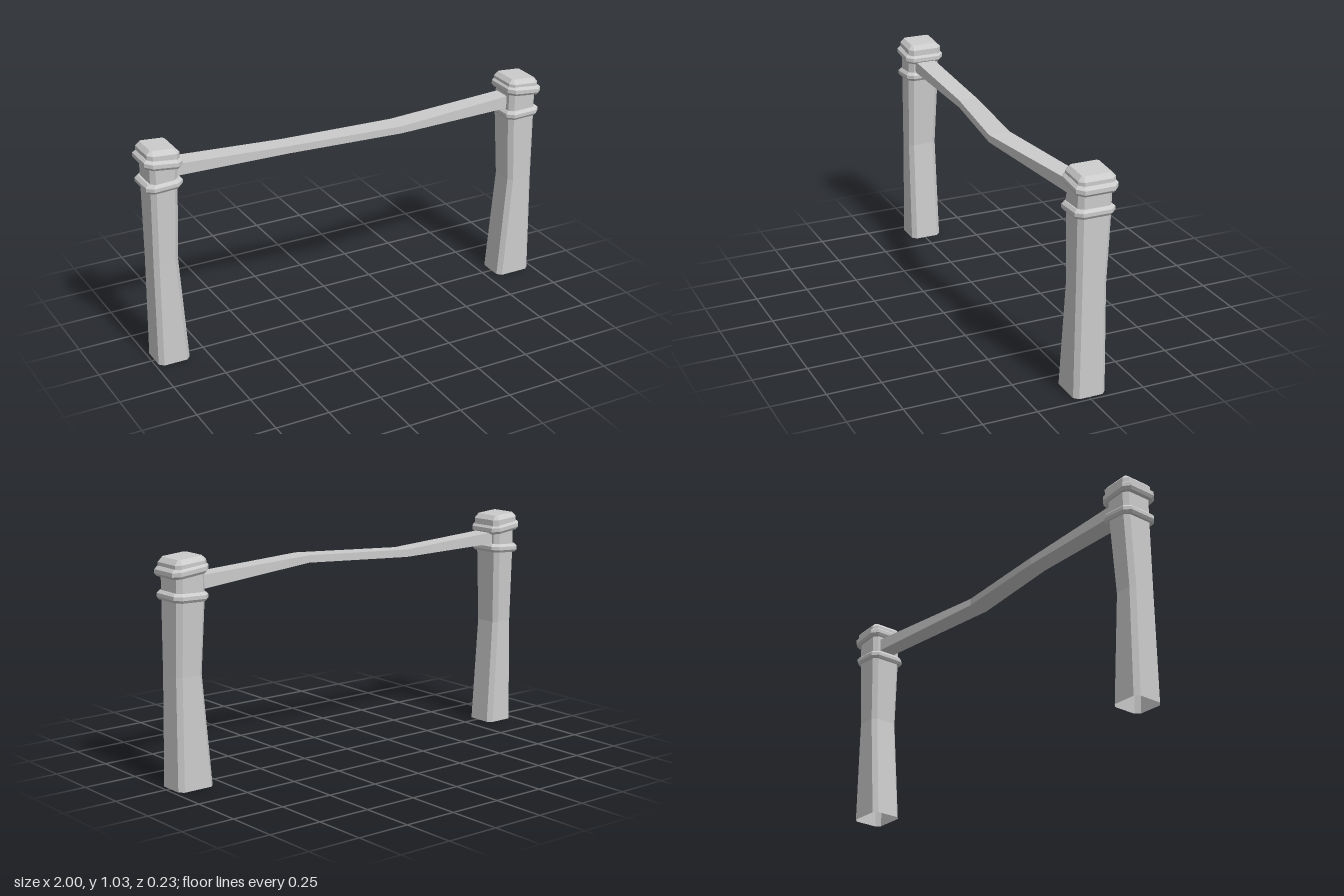
import * as THREE from 'three';

const material = new THREE.MeshStandardMaterial({ color: 0xcccccc, flatShading: true, side: THREE.DoubleSide });

// Skin a series of rings; optionally close the first and last ring.
function loft(name, rings, capStart, capEnd) {
  const pos = [];
  const n = rings[0].length;
  const tri = (...pts) => pts.forEach((p) => pos.push(...p));
  for (let r = 0; r < rings.length - 1; r++) {
    for (let i = 0; i < n; i++) {
      const j = (i + 1) % n;
      const [a, b, c, d] = [rings[r][i], rings[r][j], rings[r + 1][j], rings[r + 1][i]];
      tri(a, b, c);
      tri(a, c, d);
    }
  }
  const first = rings[0], last = rings[rings.length - 1];
  for (let i = 1; i < n - 1; i++) {
    if (capStart) tri(first[0], first[i + 1], first[i]);
    if (capEnd) tri(last[0], last[i], last[i + 1]);
  }
  const geometry = new THREE.BufferGeometry();
  geometry.setAttribute('position', new THREE.Float32BufferAttribute(pos, 3));
  geometry.computeVertexNormals();
  const mesh = new THREE.Mesh(geometry, material);
  mesh.name = name;
  return mesh;
}

// Rectangle with cut corners at height y, leaning by tilt along x.
function cutRect([y, x0, x1, z0, z1], cut = 0.02, tilt = 0) {
  const cx = (x0 + x1) / 2;
  return [
    [x1, z1 - cut], [x1, z0 + cut], [x1 - cut, z0], [x0 + cut, z0],
    [x0, z0 + cut], [x0, z1 - cut], [x0 + cut, z1], [x1 - cut, z1],
  ].map(([x, z]) => [x, y + tilt * (x - cx), z]);
}

// Bevelled band around a post.
function collar(name, y0, y1, [x0, x1, z0, z1], tilt) {
  const b = 0.012;
  const ring = (y, inset) => cutRect([y, x0 + inset, x1 - inset, z0 + inset, z1 - inset], 0.028 - inset * 0.4, tilt);
  return loft(name, [ring(y0, 0.022), ring(y0, b * 0.7), ring(y0 + b, 0), ring(y1 - b, 0), ring(y1, b), ring(y1, 0.024)], true, true);
}

function post(name, shaft, bands, cap) {
  const group = new THREE.Group();
  group.name = name;
  group.add(loft('shaft', shaft.map((s) => cutRect(s)), false, true));
  bands.forEach(([y0, y1, rect, tilt], i) => group.add(collar(i ? 'upperCollar' : 'lowerCollar', y0, y1, rect, tilt)));
  const [top, x0, x1, z0, z1, tilt] = cap;
  const ring = (y, inset, cut) => cutRect([y, x0 + inset, x1 - inset, z0 + inset, z1 - inset], cut, tilt);
  group.add(loft('cap', [ring(top - 0.07, 0, 0.02), ring(top - 0.02, 0, 0.02), ring(top, 0.018, 0.008)], true, true));
  return group;
}

export function createModel() {
  const model = new THREE.Group();
  model.name = 'railFence';

  model.add(post('rightPost',
    [[0, -0.985, -0.835, -0.085, 0.065], [0.5, -0.98, -0.865, -0.08, 0.06], [0.85, -0.975, -0.85, -0.095, 0.06], [0.98, -0.975, -0.845, -0.095, 0.06]],
    [[0.845, 0.885, [-0.997, -0.828, -0.11, 0.075], 0.05], [0.946, 0.988, [-1, -0.825, -0.113, 0.077], -0.12]],
    [1.03, -0.985, -0.835, -0.103, 0.063, -0.08]));

  model.add(post('leftPost',
    [[0, 0.803, 0.98, -0.085, 0.065], [0.5, 0.845, 0.975, -0.08, 0.06], [0.84, 0.832, 0.975, -0.095, 0.06], [0.96, 0.835, 0.975, -0.095, 0.06]],
    [[0.822, 0.862, [0.817, 0.992, -0.108, 0.078], 0.03], [0.934, 0.976, [0.818, 1, -0.115, 0.078], -0.11]],
    [1.01, 0.828, 0.985, -0.105, 0.065, -0.08]));

  // Crooked rail: x, bottom, top, back, front at each bend
  const bends = [
    [-0.9, 0.89, 0.947, -0.065, 0.03], [-0.31, 0.88, 0.915, -0.058, 0.03],
    [0.21, 0.9, 0.934, 0.012, 0.113], [0.88, 0.863, 0.925, -0.07, 0.013],
  ];
  model.add(loft('rail', bends.map(([x, y0, y1, z0, z1]) =>
    [[x, y1, z0], [x, y1, z1], [x, y0, z1], [x, y0, z0]]), true, true));
  return model;
}
